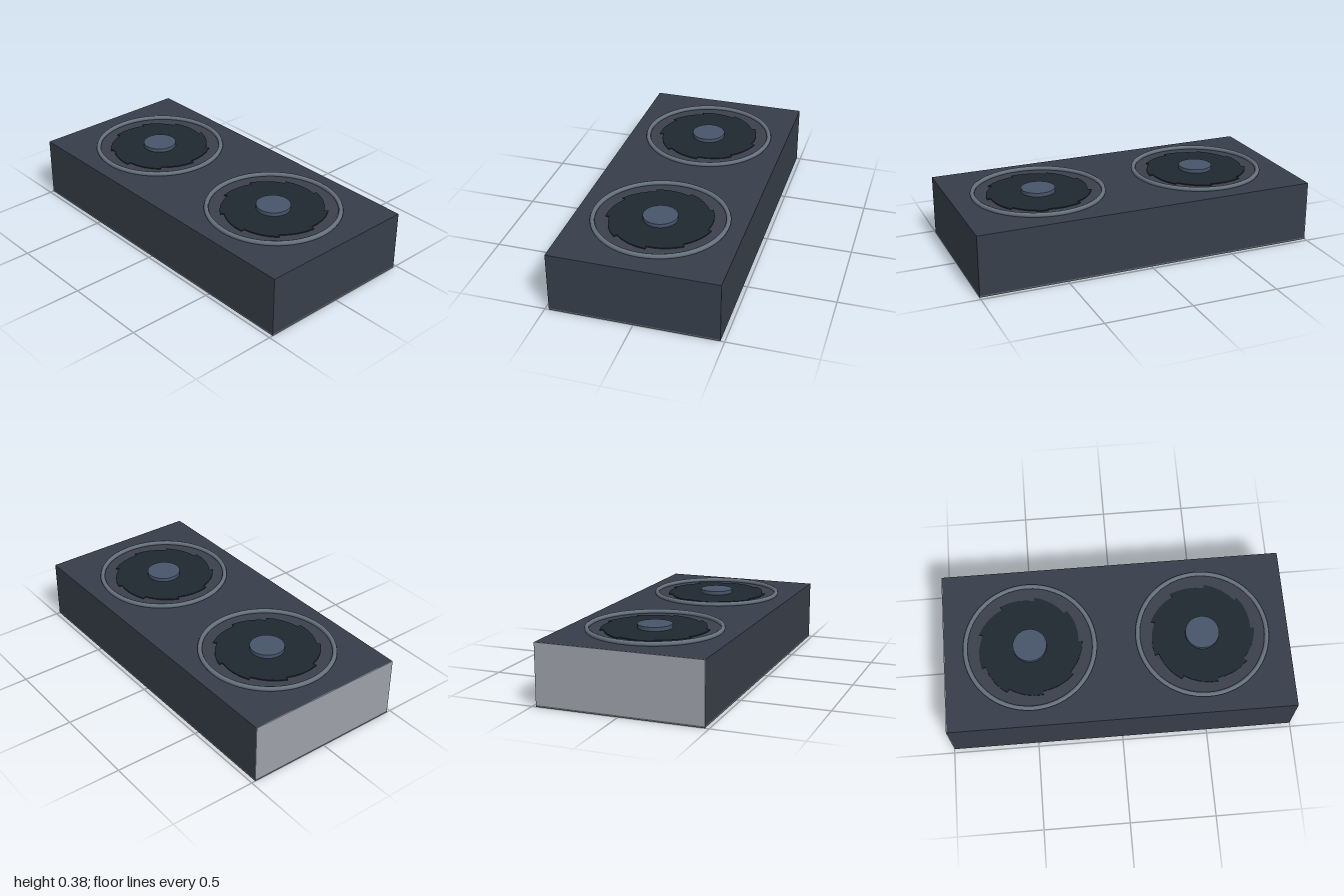
import * as THREE from 'three';

const W = 2, D = 0.954, TOP = 0.355, PLATE = 0.01, END = 0.004;

const paint = (color) => new THREE.MeshStandardMaterial({ color });

function add(parent, name, geometry, material, x = 0, y = 0, z = 0) {
  const mesh = new THREE.Mesh(geometry, material);
  mesh.name = name;
  mesh.position.set(x, y, z);
  parent.add(mesh);
  return mesh;
}

// Saw-toothed rotor outline: each blade steps out, then slopes back in
function rotorGeometry(blades, outer, inner, depth) {
  const shape = new THREE.Shape();
  const step = (Math.PI * 2) / blades;
  const start = Math.PI / 2 - THREE.MathUtils.degToRad(8);
  const steps = 4;
  for (let i = 0; i < blades; i++) {
    for (let j = 0; j <= steps; j++) {
      const a = start - (i + j / steps) * step;
      const r = THREE.MathUtils.lerp(outer, inner, j / steps);
      const x = Math.cos(a) * r, y = Math.sin(a) * r;
      if (i === 0 && j === 0) shape.moveTo(x, y);
      else shape.lineTo(x, y);
    }
  }
  shape.closePath();
  const geometry = new THREE.ExtrudeGeometry(shape, { depth, bevelEnabled: false });
  return geometry.rotateX(-Math.PI / 2);
}

export function createModel() {
  const model = new THREE.Group();
  const shell = paint(0x373e49);
  const metal = paint(0x9ca0a8);
  const ringPaint = paint(0x66717e);
  const rotorPaint = paint(0x1f2730);
  const hubPaint = paint(0x475569);
  const wellPaint = paint(0x3a404a);

  // Housing with thin bottom and end plates
  const bodyH = TOP - PLATE;
  add(model, 'housing', new THREE.BoxGeometry(W - END, bodyH, D), shell, END / 2, PLATE + bodyH / 2);
  add(model, 'bottomPlate', new THREE.BoxGeometry(W, PLATE, D), paint(0x5c5f64), 0, PLATE / 2);
  add(model, 'endPlate', new THREE.BoxGeometry(END, bodyH, D), metal, -1 + END / 2, PLATE + bodyH / 2);

  // Two fans on the top face
  const ringGeo = new THREE.TorusGeometry(0.374, 0.0135, 8, 64).rotateX(Math.PI / 2);
  const wellGeo = new THREE.CylinderGeometry(0.372, 0.372, 0.003, 64);
  const rotorGeo = rotorGeometry(9, 0.305, 0.283, 0.007);
  const hubGeo = new THREE.CylinderGeometry(0.098, 0.098, 0.03, 32);
  for (const side of [-1, 1]) {
    const fan = new THREE.Group();
    fan.name = side < 0 ? 'rightFan' : 'leftFan';
    fan.position.set(side * 0.5, TOP, 0);
    model.add(fan);
    add(fan, 'fanRing', ringGeo, ringPaint, 0, 0.011);
    add(fan, 'fanWell', wellGeo, wellPaint, 0, 0.0005);
    add(fan, 'fanBlades', rotorGeo, rotorPaint, 0, 0.001);
    add(fan, 'fanHub', hubGeo, hubPaint, 0, 0.015);
  }
  return model;
}
